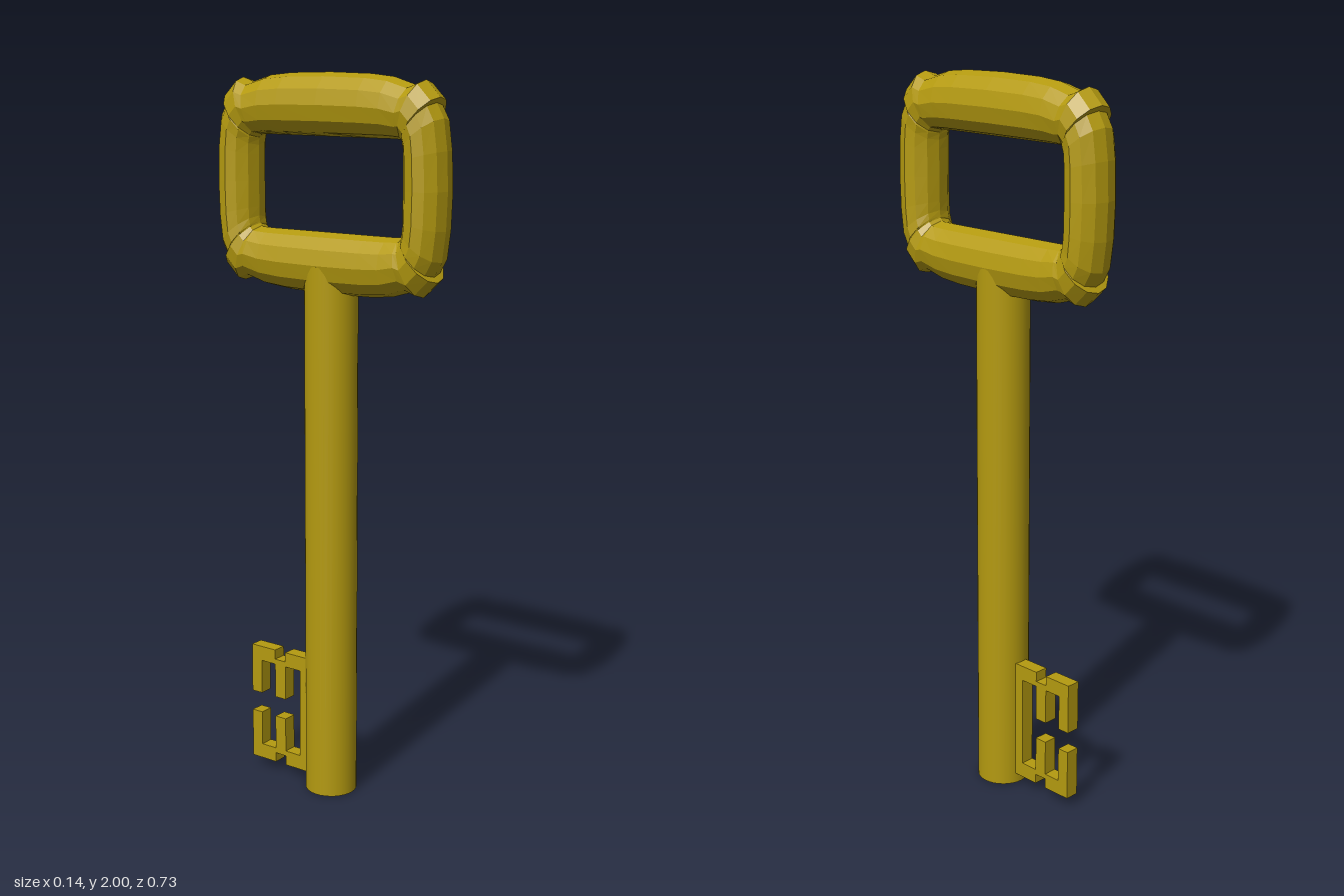
import * as THREE from 'three';

const RADIUS = 0.0725;
const BOW_Y = 1.71;

// Quarter of the bow: [outer z, outer y, inner z, inner y], from top middle to side middle
const QUARTER = [
  [0, 0.29, 0, 0.125],
  [0.13, 0.287, 0.13, 0.125],
  [0.2, 0.28, 0.195, 0.125],
  [0.262, 0.262, 0.232, 0.124],
  [0.296, 0.274, 0.236, 0.122],
  [0.339, 0.232, 0.242, 0.115],
  [0.328, 0.218, 0.243, 0.11],
  [0.35, 0.18, 0.245, 0.095],
  [0.361, 0.1, 0.245, 0.07],
  [0.365, 0, 0.245, 0],
];

// Mirrors the quarter into a closed loop and sweeps an elliptical section round it
function bowGeometry(sides = 12) {
  const flip = (list, sz, sy) => list.map(([a, b, c, d]) => [a * sz, b * sy, c * sz, d * sy]);
  const back = [...QUARTER].reverse();
  const loop = [
    ...QUARTER.slice(0, -1),
    ...flip(back, 1, -1).slice(0, -1),
    ...flip(QUARTER, -1, -1).slice(0, -1),
    ...flip(back, -1, 1).slice(0, -1),
  ];
  const positions = [];
  const index = [];
  loop.forEach(([oz, oy, iz, iy], i) => {
    for (let j = 0; j < sides; j++) {
      const t = (j / sides) * Math.PI * 2;
      const c = Math.cos(t) / 2;
      positions.push(
        RADIUS * Math.sin(t),
        (oy + iy) / 2 + (oy - iy) * c,
        (oz + iz) / 2 + (oz - iz) * c
      );
      const next = ((i + 1) % loop.length) * sides;
      const k = (j + 1) % sides;
      const a = i * sides + j, b = i * sides + k;
      index.push(a, next + j, b, b, next + j, next + k);
    }
  });
  const geometry = new THREE.BufferGeometry();
  geometry.setAttribute('position', new THREE.Float32BufferAttribute(positions, 3));
  geometry.setIndex(index);
  const faceted = geometry.toNonIndexed();
  faceted.computeVertexNormals();
  return faceted;
}

// Upper half of the toothed bit, mirrored to the lower half and extruded
function bitGeometry(thickness = 0.04) {
  const upper = [
    [0.05, 0.173], [0.15, 0.173], [0.15, 0.145], [0.187, 0.145], [0.187, 0.173],
    [0.272, 0.173], [0.272, 0.03], [0.237, 0.03], [0.237, 0.13], [0.187, 0.13],
    [0.187, 0.03], [0.15, 0.03], [0.15, 0.13], [0.097, 0.13],
  ];
  const lower = [...upper].reverse().map(([u, v]) => [u, -v]);
  const shape = new THREE.Shape([...upper, ...lower].map(([u, v]) => new THREE.Vector2(u, v)));
  const geometry = new THREE.ExtrudeGeometry(shape, { depth: thickness, bevelEnabled: false });
  geometry.translate(0, 0, -thickness / 2);
  geometry.rotateY(Math.PI / 2); // teeth point to the back
  return geometry;
}

export function createModel() {
  const gold = new THREE.MeshStandardMaterial({ color: 0xb49a10 });
  gold.name = 'old gold';
  const key = new THREE.Group();
  key.name = 'key';

  const add = (name, geometry, y) => {
    const mesh = new THREE.Mesh(geometry, gold);
    mesh.name = name;
    mesh.position.y = y;
    key.add(mesh);
  };

  const shaftLength = 1.5;
  add('shaft', new THREE.CylinderGeometry(RADIUS, RADIUS, shaftLength, 32), shaftLength / 2);
  add('bow', bowGeometry(), BOW_Y);
  add('bit', bitGeometry(), 0.203);
  return key;
}
